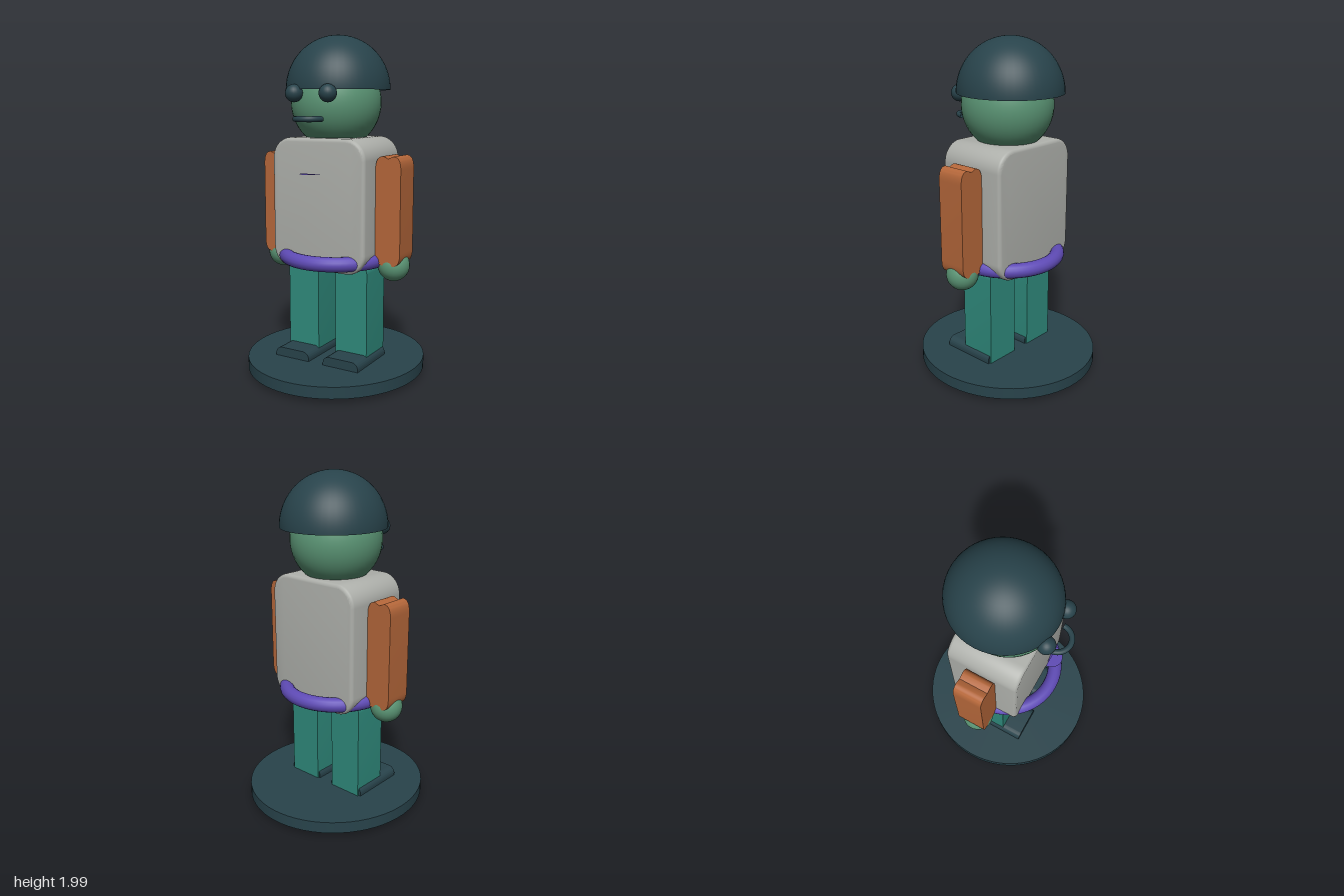
import * as THREE from 'three';
import { toCreasedNormals } from 'three/addons/utils/BufferGeometryUtils.js';

const paint = (name, color, side = THREE.FrontSide) => {
  const m = new THREE.MeshStandardMaterial({ color, side });
  m.name = name;
  return m;
};

// Rounded rectangle centred on the origin
function roundedRect(w, h, r) {
  const x = w / 2, y = h / 2, s = new THREE.Shape();
  s.moveTo(-x + r, -y);
  s.lineTo(x - r, -y);
  s.absarc(x - r, -y + r, r, -Math.PI / 2, 0);
  s.lineTo(x, y - r);
  s.absarc(x - r, y - r, r, 0, Math.PI / 2);
  s.lineTo(-x + r, y);
  s.absarc(-x + r, y - r, r, Math.PI / 2, Math.PI);
  s.lineTo(-x, -y + r);
  s.absarc(-x + r, -y + r, r, Math.PI, Math.PI * 1.5);
  return s;
}

// Limb outline: rounded corners with a shallow groove across each end
function limbShape(w, h, r, groove) {
  const x = w / 2, y = h / 2, s = new THREE.Shape();
  s.moveTo(-x, -y + r);
  s.quadraticCurveTo(-x, -y, -x * 0.4, -y);
  s.lineTo(0, -y + groove);
  s.lineTo(x * 0.4, -y);
  s.quadraticCurveTo(x, -y, x, -y + r);
  s.lineTo(x, y - r);
  s.quadraticCurveTo(x, y, x * 0.4, y);
  s.lineTo(0, y - groove);
  s.lineTo(-x * 0.4, y);
  s.quadraticCurveTo(-x, y, -x, y - r);
  return s;
}

// Extrusion centred in z, with an optional bevel added outside the outline
function slab(shape, depth, bevel = 0) {
  const g = new THREE.ExtrudeGeometry(shape, {
    depth: depth - 2 * bevel, curveSegments: 10, bevelEnabled: bevel > 0,
    bevelSize: bevel, bevelThickness: bevel, bevelSegments: 3,
  });
  g.translate(0, 0, -depth / 2 + bevel);
  return toCreasedNormals(g, 0.6);
}

export function createModel() {
  const model = new THREE.Group();
  model.name = 'figure';

  const dark = paint('darkSlate', 0x28434b, THREE.DoubleSide);
  const skin = paint('greenSkin', 0x5a9474);
  const grey = paint('shirtGrey', 0xaeb0ab);
  const orange = paint('sleeveOrange', 0xb5673a);
  const teal = paint('trouserTeal', 0x2f8a7c);
  const purple = paint('purple', 0x5f4bb6, THREE.DoubleSide);

  const add = (name, geometry, material, x, y, z) => {
    const mesh = new THREE.Mesh(geometry, material);
    mesh.name = name;
    mesh.position.set(x, y, z);
    model.add(mesh);
    return mesh;
  };

  // Slightly oval stand
  add('base', new THREE.CylinderGeometry(0.53, 0.53, 0.068, 64), dark, 0, 0.065, 0).scale.z = 0.55 / 0.53;

  // Torso and the belt ring around it
  add('torso', slab(roundedRect(0.57, 0.725, 0.1), 0.436, 0.02), grey, 0, 1.033, 0);
  add('belt', new THREE.TorusGeometry(0.3, 0.043, 16, 64), purple, 0, 0.715, 0).rotation.x = Math.PI / 2;

  // Flat half disc in front of the chest
  add('chestBadge', new THREE.CircleGeometry(0.064, 24, Math.PI, Math.PI), purple, 0, 1.22, 0.278).rotation.x = -Math.PI / 2;

  // Head and open helmet dome
  add('head', new THREE.SphereGeometry(0.27, 40, 28), skin, 0, 1.615, 0).scale.x = 0.97;
  add('helmet', new THREE.SphereGeometry(0.313, 48, 20, 0, Math.PI * 2, 0, Math.PI / 2), dark, 0, 1.686, -0.022).scale.x = 0.97;

  // Mouth: half ring lying flat, bulging forward
  add('mouth', new THREE.TorusGeometry(0.077, 0.016, 12, 32, Math.PI), dark, 0, 1.525, 0.292).rotation.x = Math.PI / 2;

  // Mirrored parts
  const eye = new THREE.SphereGeometry(0.05, 24, 16);
  const arm = slab(limbShape(0.155, 0.62, 0.075, 0.014), 0.174);
  const hand = new THREE.SphereGeometry(0.093, 28, 20);
  const leg = slab(limbShape(0.208, 0.68, 0.045, 0.012), 0.22);
  const shoe = slab(roundedRect(0.232, 0.1, 0.04), 0.34);
  for (const [label, s] of [['left', 1], ['right', -1]]) {
    add(label + 'Eye', eye, dark, s * 0.11, 1.665, 0.278);
    add(label + 'Arm', arm, orange, s * 0.383, 1.01, 0);
    add(label + 'Hand', hand, skin, s * 0.383, 0.69, 0);
    add(label + 'Leg', leg, teal, s * 0.163, 0.345, 0);
    add(label + 'Shoe', shoe, dark, s * 0.165, 0.103, 0.07);
  }

  return model;
}
